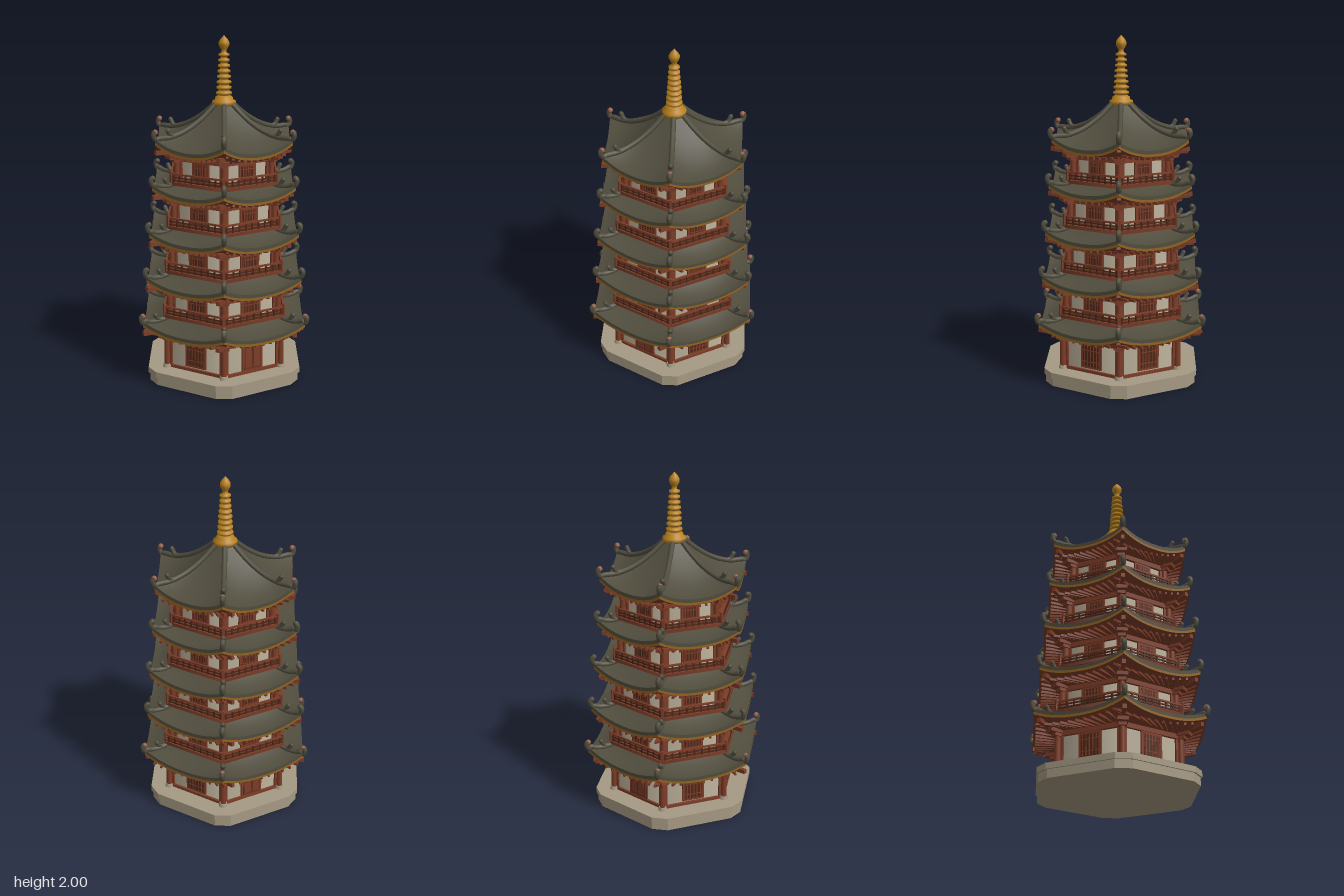
import * as THREE from 'three';

const mat = (name, color, side = THREE.FrontSide) =>
  Object.assign(new THREE.MeshStandardMaterial({ color, side }), { name });
const M = {
  roof: mat('roofTile', 0x504d3e), red: mat('redTimber', 0x7d3d28), dark: mat('darkTimber', 0x4c2719),
  door: mat('doorTimber', 0x6e3320), cream: mat('plaster', 0xc2b7a0), stone: mat('stone', 0xa69a83),
  gold: mat('gold', 0xb9821f), tip: mat('terracotta', 0x986049), trim: mat('eaveTrim', 0x94641f),
};
const C30 = Math.cos(Math.PI / 6);
const V = (x, y, z) => new THREE.Vector3(x, y, z);

function add(parent, name, geo, material, x = 0, y = 0, z = 0) {
  const m = new THREE.Mesh(geo, material);
  m.name = name;
  m.position.set(x, y, z);
  parent.add(m);
  return m;
}
const box = (p, name, material, w, h, d, x, y, z) =>
  add(p, name, new THREE.BoxGeometry(w, h, d), material, x, y, z);

// Square beam between two points
function beam(p, name, material, a, b, w, h) {
  const m = box(p, name, material, w, h, a.distanceTo(b), 0, 0, 0);
  m.position.copy(a).add(b).multiplyScalar(0.5);
  m.lookAt(b);
  return m;
}

// Surface patch from a rule f(t, s): t runs across a side (-1..1), s along its profile (0..1)
function patch(f, nt, ns) {
  const pos = [], idx = [];
  for (let j = 0; j <= ns; j++)
    for (let i = 0; i <= nt; i++) pos.push(...f((2 * i) / nt - 1, j / ns));
  for (let j = 0; j < ns; j++)
    for (let i = 0; i < nt; i++) {
      const a = j * (nt + 1) + i, b = a + nt + 1;
      idx.push(a, b, a + 1, a + 1, b, b + 1);
    }
  const g = new THREE.BufferGeometry();
  g.setAttribute('position', new THREE.Float32BufferAttribute(pos, 3));
  g.setIndex(idx);
  g.computeVertexNormals();
  return g;
}

// Six-sided prism with corners on the x axis
const hexPrism = (R, h) => new THREE.CylinderGeometry(R, R, h, 6, 1, false, Math.PI / 6);

// Hexagon with clipped corners, extruded upwards
function clippedHex(R, cut, h) {
  const pts = [], w = (R - cut) * Math.sqrt(3);
  for (let k = 0; k < 6; k++)
    for (const s of [-1, 1])
      pts.push(new THREE.Vector2(cut, s * w).rotateAround(new THREE.Vector2(), (k * Math.PI) / 3));
  return new THREE.ExtrudeGeometry(new THREE.Shape(pts), { depth: h, bevelEnabled: false }).rotateX(-Math.PI / 2);
}

// One storey side: plaster frame, door or lattice window, railing
function buildSide(p, k, R, y0, y1, railR) {
  const ap = R * C30 - 0.012, ground = !railR, h = y1 - y0;
  box(p, 'topBeam', M.red, R, 0.028, 0.03, 0, y1 - 0.012, ap);
  box(p, 'bottomBeam', M.red, R, 0.018, 0.024, 0, y0 + 0.01, ap);
  const isDoor = ground && k % 3 === 0;
  const lo = isDoor ? y0 + 0.018 : y0 + h * 0.14, hi = y1 - 0.025;
  const mid = (lo + hi) / 2, wh = hi - lo, ww = R * 0.35;
  box(p, 'openingFrame', M.red, ww, wh, 0.02, 0, mid, ap);
  box(p, 'openingPanel', M.door, ww - 0.022, wh - 0.02, 0.008, 0, mid, ap + 0.008);
  if (isDoor) {
    box(p, 'doorGap', M.dark, 0.004, wh - 0.024, 0.004, 0, mid, ap + 0.012);
    for (const s of [-1, 1]) box(p, 'doorLeaf', M.red, ww * 0.3, wh * 0.72, 0.004, s * ww * 0.2, mid, ap + 0.012);
  } else {
    box(p, 'windowRecess', M.dark, ww - 0.034, wh - 0.032, 0.004, 0, mid, ap + 0.012);
    for (let i = -2; i <= 2; i++) box(p, 'latticeBar', M.red, 0.006, wh - 0.03, 0.005, i * ww * 0.15, mid, ap + 0.014);
    for (const s of [-0.22, 0.22]) box(p, 'latticeRail', M.red, ww - 0.03, 0.005, 0.005, 0, mid + s * wh, ap + 0.014);
  }
  for (const s of [-1, 1]) box(p, 'cornerStud', M.red, 0.018, h, 0.02, s * (R / 2 - 0.022), y0 + h / 2, ap);
  if (ground) return;
  const ra = railR * C30 - 0.008;
  for (const [y, t] of [[0.018, 0.008], [0.036, 0.007], [0.055, 0.01]])
    box(p, 'rail', t === 0.01 ? M.red : M.dark, railR, t, t, 0, y0 + y, ra);
  for (let i = -4; i <= 4; i++)
    box(p, 'railPost', M.dark, 0.008, 0.05, 0.008, (i * railR) / 9, y0 + 0.03, ra);
}

// Curved six-sided roof with trim, soffit, rafters, hip ridges and horns
function buildRoof(root, o) {
  const { rIn, rOut, yTop, yEave, lift, wallR, tipR, tipY, capped } = o;
  const g = new THREE.Group();
  g.name = 'roof';
  root.add(g);
  const up = (t, s) => lift * Math.abs(t) ** 2.3 * s * s;
  const hipY = (s) => yEave + (yTop - yEave) * (1 - s) ** 1.7 + lift * s * s;
  const radius = (s) => rIn + (rOut - rIn) * s;
  const at = (t, r, y) => [(t * r) / 2, y, r * C30];
  const top = patch((t, s) => at(t, radius(s), yEave + (yTop - yEave) * (1 - s) ** 1.7 + up(t, s)), 16, 10);
  const band = (d0, d1, out) => patch((t, s) => at(t, rOut + out, yEave + up(t, 1) - d0 - (d1 - d0) * s), 16, 1);
  const tileEdge = band(0, 0.02, 0), trim = band(0.02, 0.034, 0);
  const underY = (t, s) => yEave - 0.034 - 0.02 * s + up(t, 1 - s);
  const soffit = patch((t, s) => at(t, rOut + (wallR - 0.02 - rOut) * s, underY(t, s)), 16, 5);
  for (let k = 0; k < 6; k++) {
    const side = new THREE.Group();
    side.name = 'roofSide';
    side.rotation.y = (k * Math.PI) / 3;
    g.add(side);
    add(side, 'tiles', top, M.roof);
    add(side, 'tileEdge', tileEdge, M.roof);
    add(side, 'eaveTrim', trim, M.trim);
    add(side, 'soffit', soffit, M.red);
    for (let i = -5; i <= 5; i++) {
      const t = i / 5.5;
      const a = V(...at(t, rOut - 0.015, underY(t, 0.08) - 0.004));
      const b = V(...at(t, wallR, underY(t, 1) - 0.004));
      beam(side, 'rafter', M.red, a, b, 0.012, 0.014);
    }
    // Hip ridge along +x, ending in an upturned horn
    const hip = new THREE.Group();
    hip.name = 'hip';
    hip.rotation.y = (k * Math.PI) / 3;
    g.add(hip);
    const path = [0, 0.25, 0.5, 0.75, 0.93].map((s) => V(radius(s), hipY(s) + 0.006, 0));
    path.push(V(tipR - 0.022, tipY - 0.055, 0), V(tipR - 0.01, tipY - 0.025, 0), V(tipR - 0.02, tipY - 0.008, 0));
    add(hip, 'hipRidge', new THREE.TubeGeometry(new THREE.CatmullRomCurve3(path), 40, 0.015, 8), M.roof);
    add(hip, 'hornTip', new THREE.SphereGeometry(0.016, 10, 8), capped ? M.tip : M.roof, tipR - 0.021, tipY - 0.014, 0);
    const fr = rOut - 0.1, fy = hipY((fr - rIn) / (rOut - rIn));
    const curl = new THREE.CatmullRomCurve3([V(fr - 0.04, fy + 0.012, 0), V(fr, fy + 0.016, 0), V(fr + 0.02, fy + 0.045, 0)]);
    add(hip, 'ridgeCurl', new THREE.TubeGeometry(curl, 10, 0.013, 8), M.roof);
    add(hip, 'curlTip', new THREE.SphereGeometry(0.014, 8, 6), M.roof, fr + 0.02, fy + 0.045, 0);
    beam(hip, 'hipRafter', M.red, V(rOut - 0.01, yEave - 0.042 + lift * 0.95, 0), V(wallR, yEave - 0.06, 0), 0.022, 0.024);
  }
}

export function createModel() {
  const root = new THREE.Group();
  root.name = 'pagoda';

  // Stone platform
  add(root, 'platform', clippedHex(0.502, 0.475, 0.05), M.stone);
  add(root, 'platformCap', clippedHex(0.512, 0.485, 0.034), M.stone, 0, 0.048, 0);

  // Five storeys
  const floorY = [0.08, 0.4, 0.667, 0.93, 1.185];
  const eaveY = [0.338, 0.602, 0.868, 1.138, 1.388];
  const wallR = [0.385, 0.362, 0.346, 0.33, 0.308];
  const roofR = [0.54, 0.512, 0.49, 0.465, 0.443];
  const tipR = [0.56, 0.53, 0.51, 0.482, 0.462];
  const tipY = [0.435, 0.71, 0.975, 1.24, 1.5];
  for (let n = 0; n < 5; n++) {
    const storey = new THREE.Group();
    storey.name = 'storey' + (n + 1);
    root.add(storey);
    const R = wallR[n], y0 = floorY[n], y1 = eaveY[n] - 0.052, railR = n ? R + 0.045 : 0;
    add(storey, 'walls', hexPrism(R - 0.016, y1 - y0 + 0.03), M.cream, 0, (y0 + y1) / 2, 0);
    if (n) add(storey, 'balconyFloor', hexPrism(railR, 0.02), M.red, 0, y0, 0);
    for (let k = 0; k < 6; k++) {
      const side = new THREE.Group();
      side.name = 'wallSide';
      side.rotation.y = (k * Math.PI) / 3;
      storey.add(side);
      buildSide(side, k, R, y0, y1, railR);
      // Corner column with bracket set
      const corner = new THREE.Group();
      corner.name = 'corner';
      corner.rotation.y = (k * Math.PI) / 3;
      storey.add(corner);
      add(corner, 'column', new THREE.CylinderGeometry(0.016, 0.018, y1 - y0, 10), M.red, R, (y0 + y1) / 2, 0);
      box(corner, 'bracketLow', M.red, 0.05, 0.018, 0.045, R + 0.004, y1 - 0.02, 0);
      box(corner, 'bracketHigh', M.red, 0.085, 0.02, 0.06, R + 0.015, y1, 0);
      if (n) box(corner, 'railCornerPost', M.red, 0.016, 0.07, 0.016, railR - 0.01, y0 + 0.035, 0);
      else add(corner, 'columnFoot', new THREE.CylinderGeometry(0.022, 0.027, 0.022, 10), M.stone, R, y0 + 0.011, 0);
    }
    const last = n === 4;
    buildRoof(storey, {
      rIn: last ? 0.045 : wallR[n + 1] - 0.02, rOut: roofR[n], yTop: last ? 1.615 : floorY[n + 1],
      yEave: eaveY[n], lift: last ? 0.06 : 0.052, wallR: R, tipR: tipR[n], tipY: tipY[n], capped: n === 0 || last,
    });
  }

  // Golden spire: stepped base, ringed shaft, jewel
  const prof = [[0, 1.6], [0.068, 1.605], [0.068, 1.628], [0.052, 1.634], [0.05, 1.65], [0.036, 1.658]];
  for (let i = 0; i < 8; i++) {
    const y = 1.672 + i * 0.031, r = 0.046 - i * 0.0022;
    prof.push([r - 0.014, y - 0.01], [r, y - 0.005], [r, y + 0.006], [r - 0.014, y + 0.012]);
  }
  prof.push([0.014, 1.915], [0.02, 1.925], [0.03, 1.945], [0.03, 1.96], [0.021, 1.977], [0.009, 1.99], [0, 2]);
  add(root, 'spire', new THREE.LatheGeometry(prof.map(([r, y]) => new THREE.Vector2(r, y)), 20), M.gold);
  return root;
}
